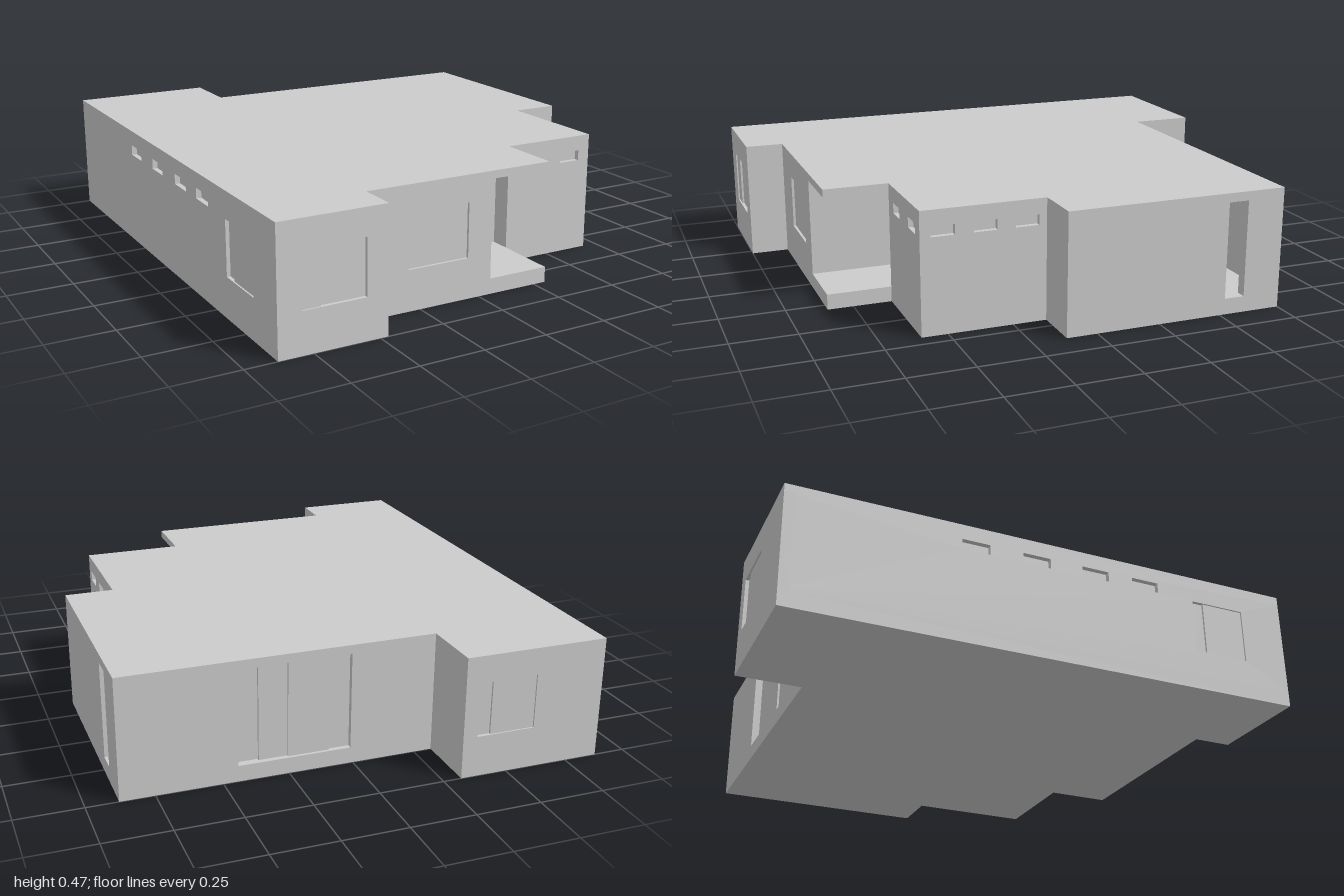
import * as THREE from 'three';

const FLOOR = 0.06, CEILING = 0.44, TOP = 0.47, THICK = 0.04;
const material = new THREE.MeshStandardMaterial({ color: 0xcccccc, flatShading: true });

// Outline of floor and roof, as [x, z]
const footprint = [
  [-0.88, 1], [-0.47, 1], [-0.47, 0.85], [0.3, 0.85], [0.3, 0.6], [0.69, 0.6], [0.69, 0.12],
  [0.88, 0.12], [0.88, -0.75], [-0.32, -0.75], [-0.32, -1], [-0.88, -1],
];

// Opening in a wall: u runs left to right seen from outside; panes are [u0, u1, recess]
const hole = (u0, u1, y0, y1, panes = []) => ({ u0, u1, y0, y1, panes });
const slit = (u0, u1) => hole(u0, u1, 0.37, 0.41, [[u0, u1, 0.02]]);
const sash = (u0, split, u1, a, b) => hole(u0, u1, 0.157, 0.367, [[u0, split, a], [split, u1, b]]);
const tall = (u0, u1, panes) => hole(u0, u1, FLOOR + 0.002, 0.435, panes);

// Each wall runs from its corner to the next one
const walls = [
  ['frontWingWall', -0.88, 1, [sash(0.09, 0.16, 0.33, 0.006, 0.014)]],
  ['frontWingReturn', -0.47, 1, []],
  ['frontWall', -0.47, 0.85, [sash(0.17, 0.3, 0.42, 0.01, 0.01)]],
  ['porchSideWall', 0.05, 0.85, []],
  ['entranceWall', 0.05, 0.52, [tall(0.05, 0.2)]],
  ['porchReturn', 0.3, 0.52, []],
  ['frontLeftWall', 0.3, 0.6, [slit(0.06, 0.14), slit(0.25, 0.34)]],
  ['leftFrontWall', 0.69, 0.6, [slit(0.04, 0.13), slit(0.2, 0.29), slit(0.36, 0.45)]],
  ['leftReturn', 0.69, 0.12, []],
  ['leftWall', 0.88, 0.12, [tall(0.64, 0.72)]],
  ['backWall', 0.88, -0.75, [tall(0.437, 0.87, [
    [0.437, 0.52, 0.03], [0.52, 0.63, 0.02], [0.63, 0.79, 0.012], [0.79, 0.87, 0.02]])]],
  ['backWingReturn', -0.32, -0.75, []],
  ['backWingWall', -0.32, -1, [sash(0.055, 0.11, 0.285, 0.014, 0.006)]],
  ['rightWall', -0.88, -1, [slit(0.65, 0.76), slit(0.89, 1), slit(1.13, 1.24), slit(1.34, 1.45),
    sash(1.6, 1.65, 1.82, 0.014, 0.006)]],
];

function addMesh(parent, name, geometry) {
  const mesh = new THREE.Mesh(geometry, material);
  mesh.name = name;
  parent.add(mesh);
  return mesh;
}

function rectangle(target, u0, u1, y0, y1) {
  target.moveTo(u0, y0).lineTo(u1, y0).lineTo(u1, y1).lineTo(u0, y1).closePath();
  return target;
}

// Horizontal slab over the whole footprint
function addSlab(parent, name, y0, y1) {
  const shape = new THREE.Shape(footprint.map(([x, z]) => new THREE.Vector2(x, -z)));
  const geometry = new THREE.ExtrudeGeometry(shape, { depth: y1 - y0, bevelEnabled: false });
  geometry.rotateX(-Math.PI / 2);
  geometry.translate(0, y0, 0);
  addMesh(parent, name, geometry);
}

// Wall with its openings and panes; the outer face lies on local z = 0
function addWall(parent, [name, x, z, openings], [, nextX, nextZ]) {
  const group = new THREE.Group();
  group.name = name;
  group.position.set(x, 0, z);
  group.rotation.y = Math.atan2(z - nextZ, nextX - x);
  parent.add(group);

  const length = Math.hypot(nextX - x, nextZ - z);
  const shape = rectangle(new THREE.Shape(), 0, length, FLOOR, CEILING);
  for (const o of openings) shape.holes.push(rectangle(new THREE.Path(), o.u0, o.u1, o.y0, o.y1));
  const geometry = new THREE.ExtrudeGeometry(shape, { depth: THICK, bevelEnabled: false });
  geometry.translate(0, 0, -THICK);
  addMesh(group, 'wallPanel', geometry);

  for (const o of openings) {
    for (const [u0, u1, recess] of o.panes) {
      const depth = THICK - recess;
      const pane = addMesh(group, 'windowPane', new THREE.BoxGeometry(u1 - u0, o.y1 - o.y0, depth));
      pane.position.set((u0 + u1) / 2, (o.y0 + o.y1) / 2, -recess - depth / 2);
    }
  }
}

export function createModel() {
  const house = new THREE.Group();
  house.name = 'house';
  addSlab(house, 'floorSlab', 0, FLOOR);
  addSlab(house, 'flatRoof', CEILING, TOP);
  walls.forEach((wall, i) => addWall(house, wall, walls[(i + 1) % walls.length]));
  return house;
}
